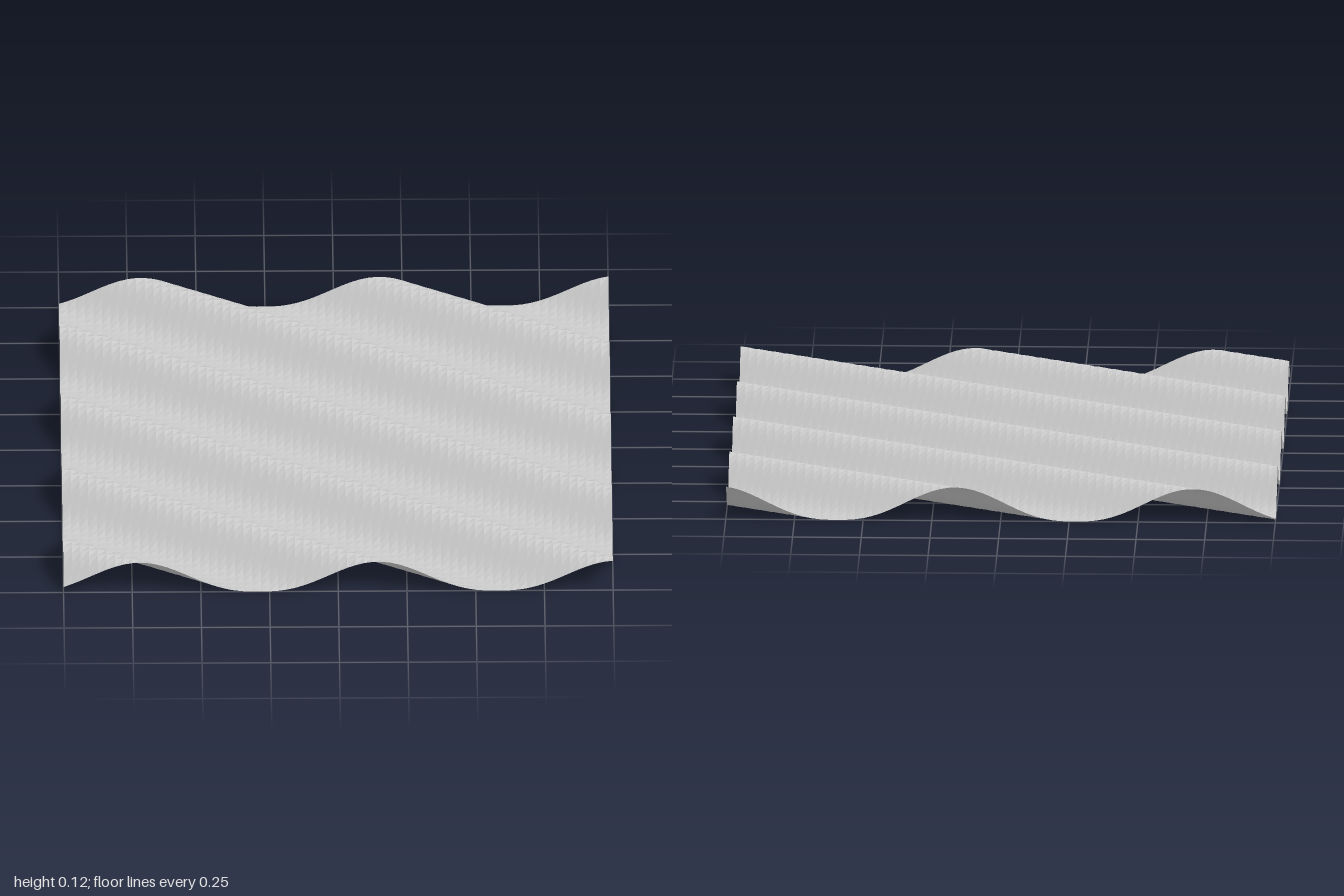
import * as THREE from 'three';

const SIZE = 2;
const SEGMENTS = 64;
const HEIGHT = 0.125;
const PERIOD = 0.503;  // crest spacing along z
const SLANT = 0.58;    // z gained by a crest per unit of x
const OFFSET = -0.09;  // z of a crest at x = 0

// Narrow crests and broad troughs, running diagonally
function waveHeight(x, z) {
  const phase = (2 * Math.PI * (z - OFFSET - SLANT * x)) / PERIOD;
  return HEIGHT * Math.pow(0.5 + 0.5 * Math.cos(phase), 1.35);
}

export function createModel() {
  const group = new THREE.Group();
  group.name = 'rippledSheet';

  // Square grid laid flat, then lifted into ripples
  const geometry = new THREE.PlaneGeometry(SIZE, SIZE, SEGMENTS, SEGMENTS);
  geometry.rotateX(-Math.PI / 2);
  const position = geometry.attributes.position;
  for (let i = 0; i < position.count; i++) {
    position.setY(i, waveHeight(position.getX(i), position.getZ(i)));
  }
  geometry.computeVertexNormals();

  const material = new THREE.MeshStandardMaterial({
    color: 0xcccccc,
    flatShading: true,
    side: THREE.DoubleSide,
  });
  const surface = new THREE.Mesh(geometry, material);
  surface.name = 'waveSurface';
  group.add(surface);
  return group;
}
